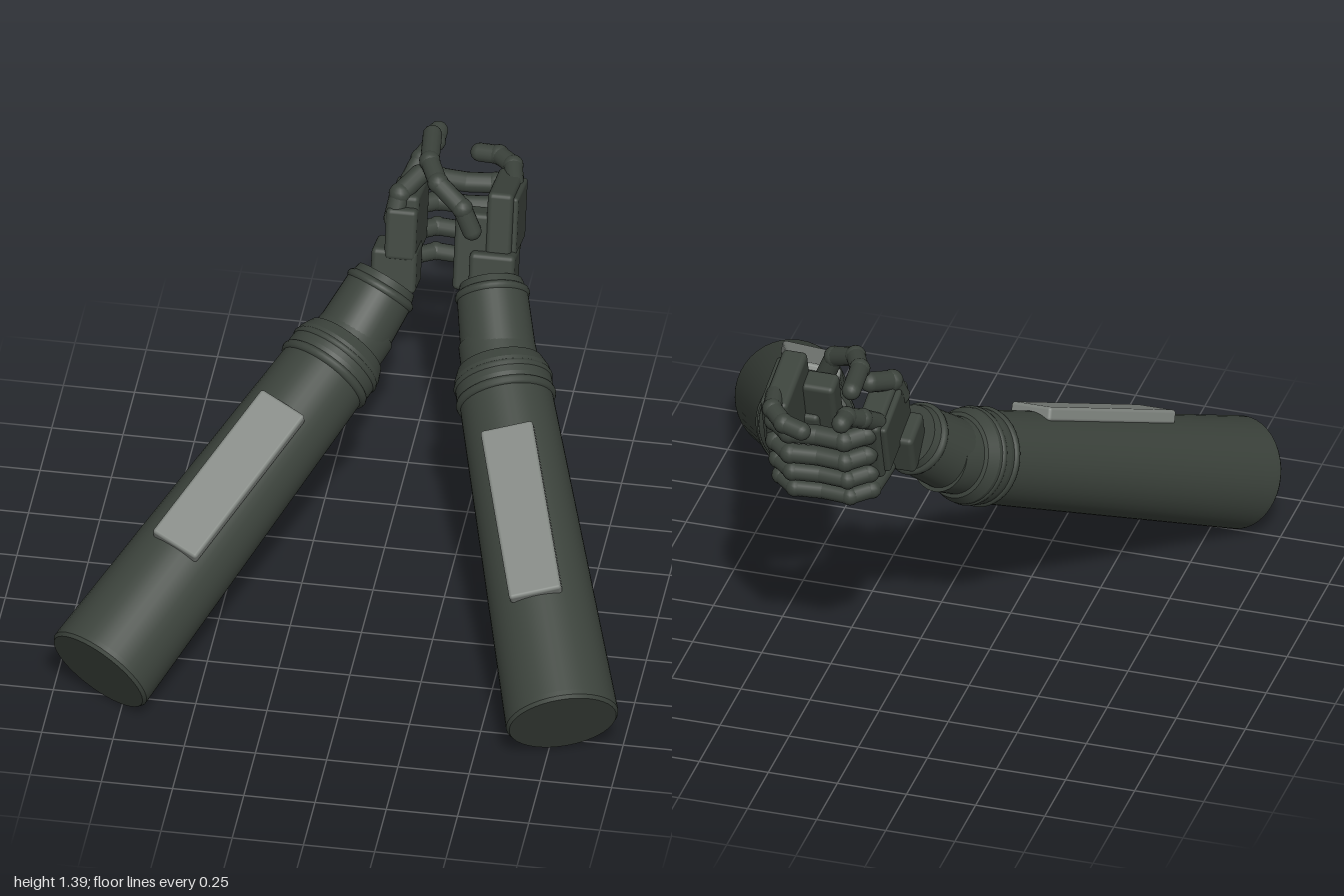
import * as THREE from 'three';
import { RoundedBoxGeometry } from 'three/addons/geometries/RoundedBoxGeometry.js';

const V = (a) => new THREE.Vector3(...a);
const UP = new THREE.Vector3(0, 1, 0);

export function createModel() {
  const dark = new THREE.MeshStandardMaterial({ color: 0x3c433c });
  dark.name = 'dark green grey';
  const grey = new THREE.MeshStandardMaterial({ color: 0x7f847f });
  grey.name = 'panel grey';
  const model = new THREE.Group();
  model.name = 'armPair';

  const add = (parent, name, geo, mat = dark) => {
    const m = new THREE.Mesh(geo, mat);
    m.name = name;
    parent.add(m);
    return m;
  };
  const box = (parent, name, size, pos, tilt = 0, mat = dark, r = 0.018) => {
    const m = add(parent, name, new RoundedBoxGeometry(...size, 3, r), mat);
    m.position.set(...pos);
    m.rotation.x = tilt;
    return m;
  };
  const ring = (parent, name, y, r, tube) => {
    const m = add(parent, name, new THREE.TorusGeometry(r, tube, 10, 40));
    m.rotation.x = Math.PI / 2;
    m.position.y = y;
  };
  // Solid of revolution, each profile step creased
  const turned = (parent, name, pts) => {
    for (let i = 0; i + 1 < pts.length; i++) {
      if (pts[i][0] === pts[i + 1][0] && pts[i][1] === pts[i + 1][1]) continue;
      add(parent, name, new THREE.LatheGeometry(
        [pts[i], pts[i + 1]].map((p) => new THREE.Vector2(...p)), 40));
    }
  };
  // Chain of capsules with slightly thicker joints
  const finger = (parent, name, pts, r) => {
    const g = new THREE.Group();
    g.name = name;
    parent.add(g);
    const P = pts.map(V);
    for (let i = 0; i + 1 < P.length; i++) {
      const d = P[i + 1].clone().sub(P[i]);
      const c = add(g, 'fingerSegment', new THREE.CapsuleGeometry(r, d.length(), 6, 14));
      c.position.copy(P[i]).addScaledVector(d, 0.5);
      c.quaternion.setFromUnitVectors(UP, d.normalize());
      if (i > 0) add(g, 'fingerJoint', new THREE.SphereGeometry(r * 1.1, 14, 10)).position.copy(P[i]);
    }
  };

  const arms = [
    { side: 'right', base: [-0.826, 0.18, 0.85], cuff: [-0.206, 0.76, -0.21], wrist: [-0.04, 0.97, -0.48], roll: 0.28, panel: 0.8 },
    { side: 'left', base: [0.81, 0.18, 0.885], cuff: [0.44, 0.76, -0.165], wrist: [0.335, 0.98, -0.5], roll: -0.24, panel: 0.74 },
  ];
  for (const a of arms) {
    // Forearm: local y runs toward the hand, local z faces upward
    const arm = new THREE.Group();
    arm.name = a.side + 'Forearm';
    const base = V(a.base);
    const d = V(a.cuff).sub(base);
    const L = d.length();
    d.normalize();
    const n = UP.clone().addScaledVector(d, -d.y).normalize();
    arm.quaternion.setFromRotationMatrix(
      new THREE.Matrix4().makeBasis(d.clone().cross(n), d, n));
    arm.position.copy(base);
    model.add(arm);
    turned(arm, 'sleeve', [[0, 0], [0.188, 0], [0.197, 0.012], [0.197, 0.03], [0.163, L]]);
    ring(arm, 'sleeveRing', L, 0.158, 0.018);
    turned(arm, 'cuff', [[0.166, L], [0.17, L + 0.03], [0.168, L + 0.09], [0.15, L + 0.13], [0.12, L + 0.14]]);
    ring(arm, 'cuffRing', L + 0.065, 0.158, 0.016);
    turned(arm, 'innerCuff', [[0.138, L + 0.1], [0.132, L + 0.22], [0, L + 0.22]]);

    // Panel on the upper, inner side
    const roll = new THREE.Group();
    roll.name = 'panelMount';
    roll.rotation.y = a.roll;
    arm.add(roll);
    box(roll, 'forearmPanel', [0.185, 0.66, 0.05], [0, a.panel, 0.175], -0.025, grey, 0.012);

    // Wrist bends up toward the hand
    const w0 = base.clone().addScaledVector(d, L + 0.15);
    const w = V(a.wrist).sub(w0);
    const wl = w.length();
    const wrist = new THREE.Group();
    wrist.name = a.side + 'Wrist';
    wrist.position.copy(w0);
    wrist.quaternion.setFromUnitVectors(UP, w.normalize());
    model.add(wrist);
    turned(wrist, 'wristTube', [[0.132, 0], [0.124, wl - 0.03], [0.11, wl + 0.02], [0, wl + 0.02]]);
    ring(wrist, 'wristRing', wl - 0.025, 0.113, 0.018);
  }

  // Hands: wrist block, palm, back plate and thumb mount
  const right = new THREE.Group();
  right.name = 'rightHand';
  const left = new THREE.Group();
  left.name = 'leftHand';
  model.add(right, left);
  const tilt = -0.28;
  box(right, 'wristBlock', [0.16, 0.16, 0.15], [-0.01, 1.0, -0.56], tilt);
  box(right, 'palm', [0.09, 0.25, 0.26], [0.02, 1.12, -0.68], tilt);
  box(right, 'backPlate', [0.03, 0.21, 0.21], [-0.03, 1.12, -0.69], tilt, dark, 0.012);
  box(right, 'thumbMount', [0.11, 0.19, 0.1], [0.01, 1.14, -0.57], tilt);
  box(left, 'wristBlock', [0.16, 0.15, 0.14], [0.335, 1.03, -0.55], tilt);
  box(left, 'palm', [0.09, 0.26, 0.27], [0.35, 1.16, -0.685], tilt);
  box(left, 'backPlate', [0.03, 0.22, 0.22], [0.396, 1.16, -0.685], tilt, dark, 0.012);
  box(left, 'thumbMount', [0.12, 0.29, 0.09], [0.255, 1.09, -0.575], tilt);

  // Four curled fingers per hand, meeting in the middle
  const rows = [[1.16, -0.78, -0.87], [1.07, -0.76, -0.86], [0.98, -0.72, -0.83], [0.895, -0.62, -0.8]];
  rows.forEach(([y, z0, z1], i) => {
    const r = 0.036 - i * 0.002;
    for (const [hand, x, s] of [[right, 0.01, 1], [left, 0.37, -1]]) {
      finger(hand, 'curledFinger', [[x, y + 0.03, z0], [x + s * 0.015, y + 0.01, z1 + 0.05],
        [x + s * 0.08, y, z1], [0.19, y, z1 + 0.01]], r);
    }
  });

  // Index fingers and thumbs
  finger(right, 'indexFinger', [[0.0, 1.2, -0.78], [0.03, 1.25, -0.85], [0.07, 1.285, -0.91], [0.072, 1.29, -0.966]], 0.034);
  finger(left, 'indexFinger', [[0.37, 1.24, -0.77], [0.35, 1.245, -0.87], [0.29, 1.235, -0.935], [0.22, 1.225, -0.952]], 0.033);
  finger(right, 'thumb', [[-0.02, 1.19, -0.57], [-0.005, 1.27, -0.61], [0.05, 1.3, -0.69]], 0.036);
  finger(left, 'thumb', [[0.26, 1.2, -0.53], [0.225, 1.285, -0.54], [0.13, 1.34, -0.6], [0.085, 1.355, -0.7], [0.07, 1.357, -0.85]], 0.034);
  return model;
}
